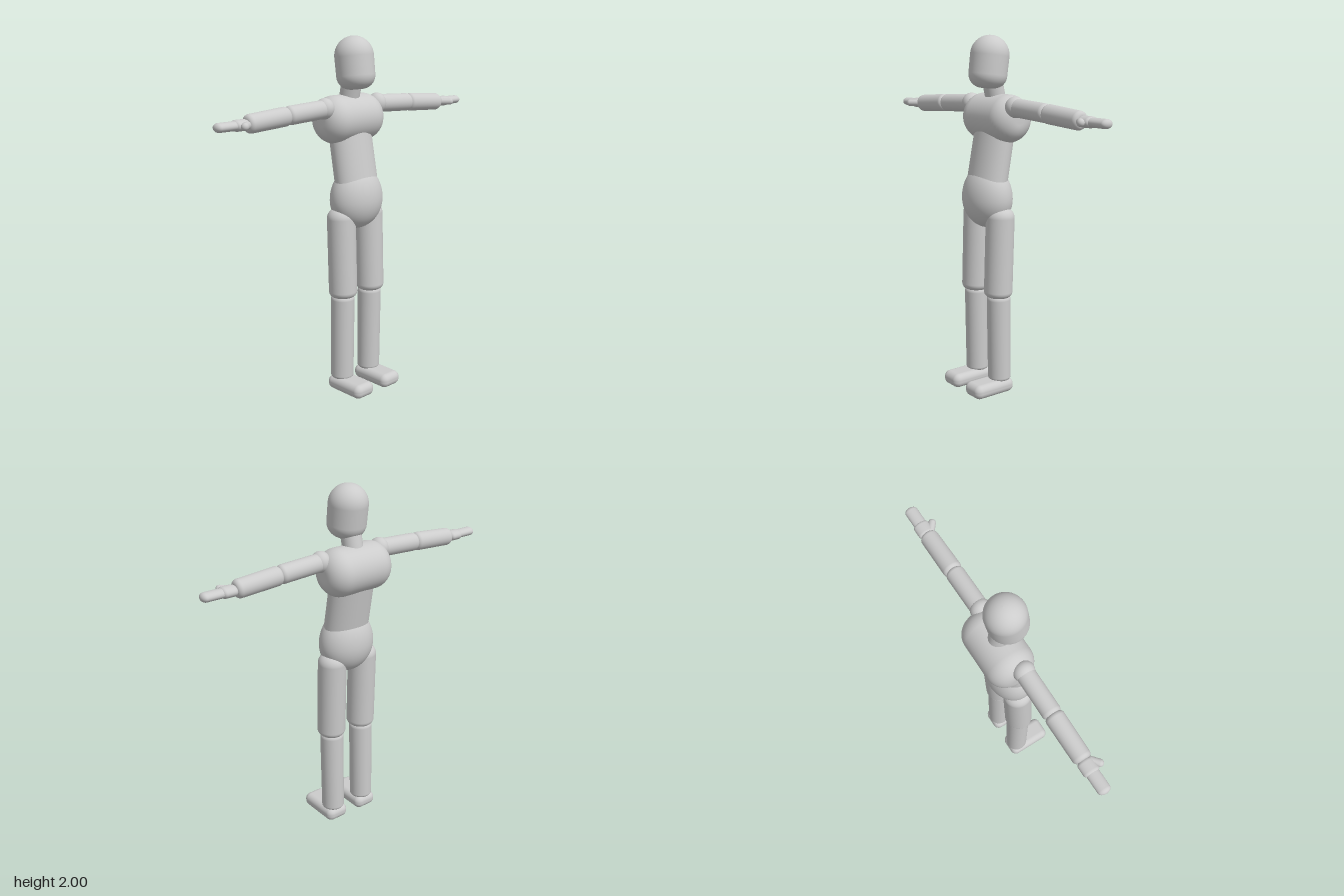
import * as THREE from 'three';
import { RoundedBoxGeometry } from 'three/addons/geometries/RoundedBoxGeometry.js';

const material = new THREE.MeshStandardMaterial({ color: 0xcccccc });
const UP = new THREE.Vector3(0, 1, 0);

// Quarter arc of a rounded end, from the flat centre out to the side (or back in)
function fillet(points, r, y, c, isTop) {
  const n = 12;
  for (let i = 0; i <= n; i++) {
    const a = ((isTop ? i : n - i) / n) * Math.PI / 2;
    points.push(new THREE.Vector2(Math.max(r - c + c * Math.cos(a), 0),
      y + (isTop ? 1 : -1) * c * (Math.sin(a) - 1)));
  }
}

// Round-ended cylinder from a to b: radii r0, r1, end roundings c0, c1, depth scales z
function limb(name, a, b, r0, r1, c0, c1, depth = 1) {
  const start = new THREE.Vector3(...a);
  const dir = new THREE.Vector3(...b).sub(start);
  const length = dir.length();
  const points = [];
  if (c0 < r0) points.push(new THREE.Vector2(0, 0));
  fillet(points, r0, 0, c0, false);
  fillet(points, r1, length, c1, true);
  if (c1 < r1) points.push(new THREE.Vector2(0, length));
  const geometry = new THREE.LatheGeometry(points, 48);
  geometry.scale(1, 1, depth);
  const mesh = new THREE.Mesh(geometry, material);
  mesh.name = name;
  mesh.position.copy(start);
  mesh.quaternion.setFromUnitVectors(UP, dir.normalize());
  return mesh;
}

// Egg-shaped pelvis, taller above its widest line than below
function makePelvis() {
  const points = [];
  for (let i = 0; i <= 32; i++) {
    const a = -Math.PI / 2 + (i / 32) * Math.PI;
    const s = Math.sin(a);
    points.push(new THREE.Vector2(Math.max(0.164 * Math.cos(a), 0), s * (s < 0 ? 0.165 : 0.19)));
  }
  const geometry = new THREE.LatheGeometry(points, 48);
  geometry.scale(1, 1, 0.78);
  const mesh = new THREE.Mesh(geometry, material);
  mesh.name = 'pelvis';
  mesh.position.set(0, 1.11, 0.003);
  return mesh;
}

function makeArm(s, side) {
  const arm = new THREE.Group();
  arm.name = side + 'Arm';
  const shoulder = new THREE.Mesh(new THREE.SphereGeometry(0.057, 32, 24), material);
  shoulder.name = 'shoulder';
  shoulder.position.set(s * 0.197, 1.624, -0.035);
  shoulder.scale.x = 0.9;
  arm.add(
    shoulder,
    limb('upperArm', [s * 0.2, 1.622, -0.036], [s * 0.46, 1.609, -0.036], 0.05, 0.05, 0.025, 0.025),
    limb('forearm', [s * 0.45, 1.609, -0.036], [s * 0.717, 1.591, -0.036], 0.051, 0.049, 0.025, 0.025),
    limb('palm', [s * 0.71, 1.591, -0.036], [s * 0.799, 1.591, -0.036], 0.029, 0.029, 0.022, 0.022, 1.5),
    limb('fingers', [s * 0.77, 1.591, -0.036], [s * 0.905, 1.591, -0.036], 0.024, 0.024, 0.024, 0.024, 1.45),
    limb('thumb', [s * 0.715, 1.591, -0.022], [s * 0.782, 1.591, 0.034], 0.02, 0.02, 0.02, 0.02),
  );
  return arm;
}

function makeLeg(s, side) {
  const leg = new THREE.Group();
  leg.name = side + 'Leg';
  const x = s * 0.106;
  const foot = new THREE.Mesh(new RoundedBoxGeometry(0.14, 0.08, 0.264, 8, 0.036), material);
  foot.name = 'foot';
  foot.position.set(x, 0.04, 0.066);
  leg.add(
    limb('thigh', [x, 0.56, 0.006], [x, 1.073, -0.009], 0.08, 0.08, 0.035, 0.06),
    limb('shin', [x, 0.07, -0.005], [x, 0.577, 0.002], 0.065, 0.067, 0.02, 0.03),
    foot,
  );
  return leg;
}

export function createModel() {
  const model = new THREE.Group();
  model.name = 'mannequin';
  model.add(
    limb('head', [0, 1.716, 0.008], [0, 2.0, -0.028], 0.106, 0.107, 0.075, 0.107),
    limb('neck', [0, 1.62, -0.064], [0, 1.79, -0.024], 0.056, 0.056, 0.01, 0.01),
    limb('chest', [-0.204, 1.555, -0.062], [0.204, 1.555, -0.062], 0.131, 0.131, 0.1, 0.1),
    limb('waist', [0, 1.18, 0.008], [0, 1.52, -0.055], 0.137, 0.135, 0.02, 0.02, 0.7),
    makePelvis(),
  );
  for (const [s, side] of [[1, 'left'], [-1, 'right']]) {
    model.add(makeArm(s, side), makeLeg(s, side));
  }
  return model;
}
